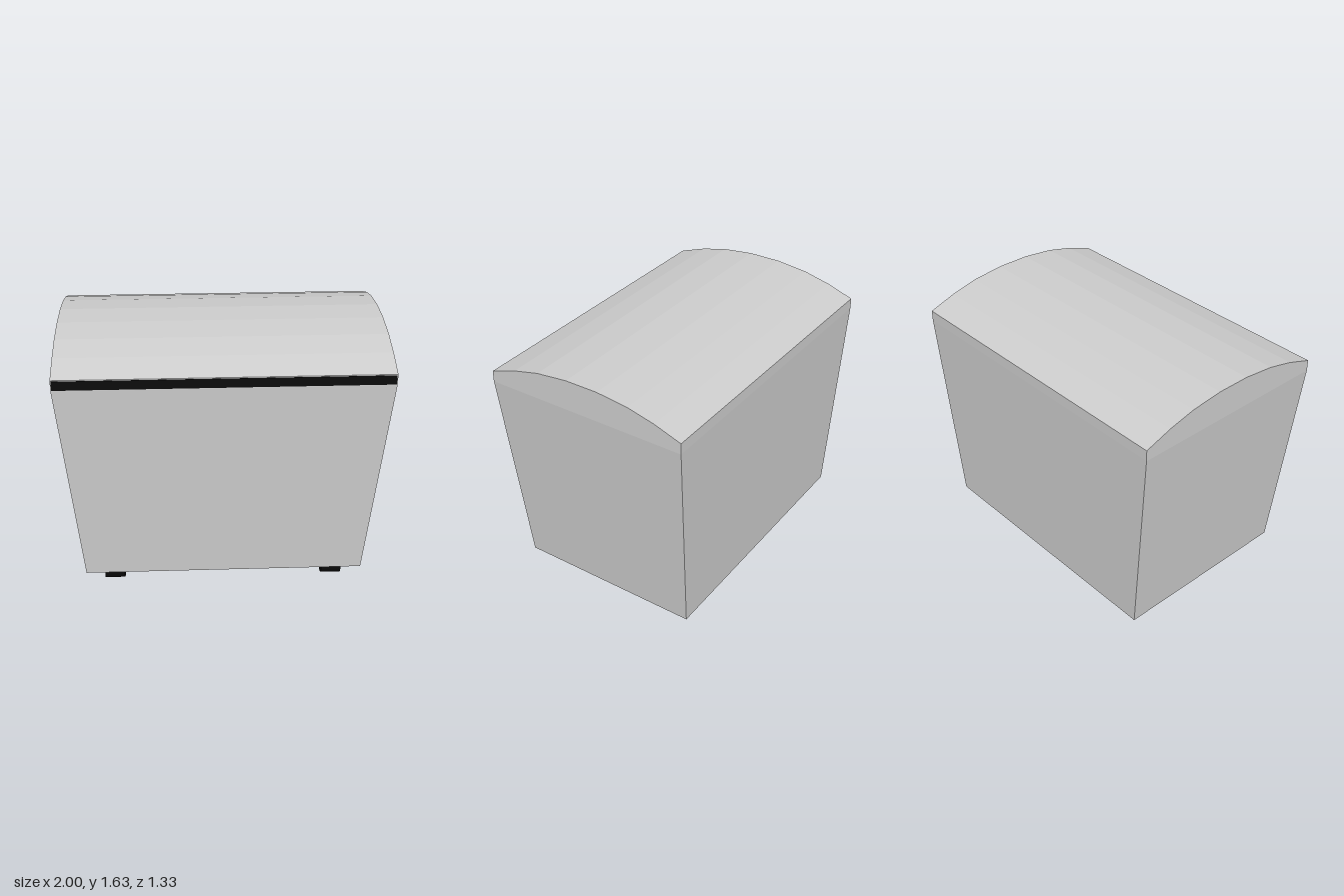
import * as THREE from 'three';

const grey = new THREE.MeshStandardMaterial({ color: 0xcccccc, flatShading: true });
const black = new THREE.MeshStandardMaterial({ color: 0x0a0a0a });

function add(parent, name, geometry, material, x = 0, y = 0, z = 0) {
  const mesh = new THREE.Mesh(geometry, material);
  mesh.name = name;
  mesh.position.set(x, y, z);
  parent.add(mesh);
  return mesh;
}

// Bin body: a box whose lower end narrows, a little more at the front than the back
function bodyGeometry() {
  const bottom = 0.11, top = 1.44;
  const geometry = new THREE.BoxGeometry(2, top - bottom, 1.33);
  geometry.translate(0, (top + bottom) / 2, 0);
  const p = geometry.attributes.position;
  for (let i = 0; i < p.count; i++) {
    if (p.getY(i) < 1) {
      p.setX(i, Math.sign(p.getX(i)) * 0.877);
      p.setZ(i, p.getZ(i) > 0 ? 0.585 : -0.62);
    }
  }
  geometry.computeVertexNormals();
  return geometry;
}

// Lid: upright rim with a faceted arched top, extruded along x
function lidGeometry() {
  const half = [[0.665, 1.44], [0.665, 1.51], [0.49, 1.57], [0.315, 1.612], [0.108, 1.635]];
  const mirrored = half.map(([z, y]) => [-z, y]).reverse();
  const shape = new THREE.Shape([...half, ...mirrored].map(([z, y]) => new THREE.Vector2(z, y)));
  const geometry = new THREE.ExtrudeGeometry(shape, { depth: 2, bevelEnabled: false });
  geometry.translate(0, 0, -1);
  geometry.rotateY(Math.PI / 2);
  return geometry;
}

export function createModel() {
  const model = new THREE.Group();
  model.name = 'wheeledBin';

  add(model, 'body', bodyGeometry(), grey);
  add(model, 'lid', lidGeometry(), grey);

  // Dark strip along the front of the lid rim
  add(model, 'frontStrip', new THREE.BoxGeometry(1.99, 0.058, 0.01), black, 0, 1.475, 0.662);

  // Four casters: wheel on a block that shows on both sides of it
  const wheel = new THREE.CylinderGeometry(0.064, 0.064, 0.127, 32);
  wheel.rotateZ(Math.PI / 2);
  const block = new THREE.BoxGeometry(0.19, 0.05, 0.08);
  for (const x of [-0.7, 0.697]) {
    for (const z of [-0.5, 0.465]) {
      const caster = new THREE.Group();
      caster.name = (z > 0 ? 'front' : 'back') + (x > 0 ? 'Left' : 'Right') + 'Caster';
      caster.position.set(x, 0, z);
      add(caster, 'wheel', wheel, black, 0, 0.064, 0);
      add(caster, 'axleBlock', block, grey, 0, 0.093, 0);
      model.add(caster);
    }
  }
  return model;
}
